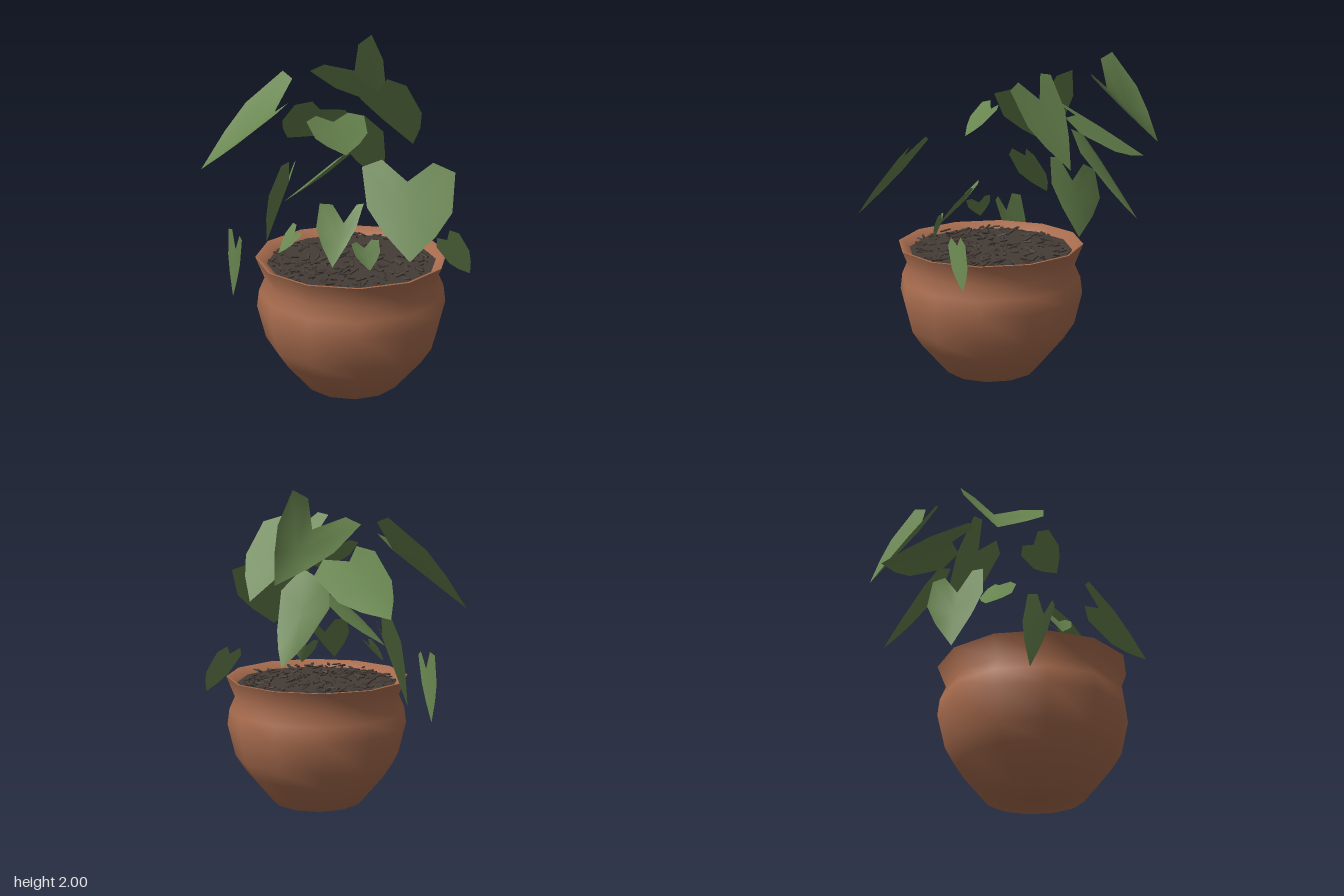
import * as THREE from 'three';
import { toCreasedNormals, mergeGeometries } from 'three/addons/utils/BufferGeometryUtils.js';

const mat = (name, color, side = THREE.FrontSide) => {
  const m = new THREE.MeshStandardMaterial({ color, side });
  m.name = name;
  return m;
};

// Small seeded generator for the loose soil chips
function seeded(seed) {
  return () => {
    seed = (seed * 16807) % 2147483647;
    return seed / 2147483647;
  };
}

const V = (p) => new THREE.Vector3(...p);

// Heart-shaped leaf spanned by its notch, tip and two lobe corners;
// fullness pushes the sides outwards
function leafGeometry(notch, tip, lobeA, lobeB, fullness = 0.4) {
  const N = V(notch), T = V(tip);
  const axis = T.clone().sub(N);
  const pts = [N.clone().lerp(T, 0.42), N];
  const side = (c) => {
    const C = V(c);
    const out = C.clone().sub(N);
    const inner = N.clone().lerp(C, 0.55).addScaledVector(axis, -0.18);
    const shoulder = C.clone().lerp(T, 0.5).addScaledVector(out, fullness);
    const low = shoulder.clone().lerp(T, 0.5).addScaledVector(out, fullness * 0.25);
    return [inner, C, shoulder, low];
  };
  pts.push(...side(lobeA), T, ...side(lobeB).reverse());
  const index = [];
  const n = pts.length - 1;
  for (let i = 0; i < n; i++) index.push(0, 1 + i, 1 + ((i + 1) % n));
  const g = new THREE.BufferGeometry().setFromPoints(pts);
  g.setIndex(index);
  g.computeVertexNormals();
  // Keep the normals on the upper face
  if (g.attributes.normal.getY(0) < 0) {
    g.setIndex(index.reverse());
    g.computeVertexNormals();
  }
  return g;
}

export function createModel() {
  const model = new THREE.Group();
  model.name = 'pottedPlant';
  const terracotta = mat('terracotta', 0xa86c4e);
  const soilBrown = mat('soil brown', 0x443b35);
  const leafGreen = mat('leaf green', 0x68854f, THREE.DoubleSide);

  const add = (parent, name, geometry, material) => {
    const m = new THREE.Mesh(geometry, material);
    m.name = name;
    parent.add(m);
    return m;
  };

  // Pot: bellied wall, flared rim and sloping inner lip
  const potGroup = new THREE.Group();
  potGroup.name = 'pot';
  potGroup.position.set(0.09, 0, 0.223);
  model.add(potGroup);
  const profile = [
    [0, 0.005], [0.29, 0.005], [0.455, 0.2], [0.52, 0.3], [0.568, 0.5],
    [0.555, 0.6], [0.52, 0.68], [0.572, 0.81], [0.56, 0.812], [0.485, 0.745],
  ].map(([r, y]) => new THREE.Vector2(r, y));
  add(potGroup, 'potWall', toCreasedNormals(new THREE.LatheGeometry(profile, 12), 1), terracotta);

  // Soil bed
  const bed = new THREE.CylinderGeometry(0.505, 0.48, 0.03, 12);
  bed.translate(0, 0.755, 0);
  add(potGroup, 'soilBed', bed, soilBrown);

  // Loose chips scattered over the soil
  const rand = seeded(7);
  const chips = [];
  for (let i = 0; i < 220; i++) {
    const r = 0.47 * Math.sqrt(rand());
    const a = rand() * Math.PI * 2;
    const chip = new THREE.BoxGeometry(0.03 + rand() * 0.04, 0.008, 0.01 + rand() * 0.012);
    chip.rotateZ((rand() - 0.5) * 0.7);
    chip.rotateX((rand() - 0.5) * 0.8);
    chip.rotateY(rand() * Math.PI * 2);
    chip.translate(r * Math.cos(a), 0.773 + rand() * 0.025, r * Math.sin(a));
    chips.push(chip);
  }
  add(potGroup, 'soilChips', mergeGeometries(chips), soilBrown);

  // Leaves: notch, tip, lobe, lobe, fullness
  const leaves = {
    backLeaf: [[0.09, 1.72, -0.14], [0.2, 1.35, -0.43], [-0.13, 1.84, -0.07], [0.3, 1.79, -0.08], 0.42],
    topLeaf: [[-0.2, 1.78, -0.42], [-0.16, 1.5, -0.79], [-0.4, 1.8, -0.2], [-0.12, 2.0, -0.5], 0.3],
    backDroopingLeaf: [[-0.15, 1.5, -0.28], [-0.14, 1.03, -0.68], [-0.27, 1.33, -0.34], [0.02, 1.42, -0.38], 0.12],
    upperRightLeaf: [[-0.43, 1.62, 0.2], [-0.83, 1.27, 0.4], [-0.48, 1.83, 0.0], [-0.28, 1.67, 0.46], 0.42],
    backRightLeaf: [[-0.3, 1.58, -0.14], [-0.68, 1.3, -0.41], [-0.39, 1.63, 0.02], [-0.14, 1.5, -0.28], 0.35],
    frontLeftLeaf: [[0.56, 1.39, 0.5], [0.69, 1.03, 0.76], [0.3, 1.45, 0.53], [0.78, 1.43, 0.35], 0.4],
    crownFrontLeaf: [[0.0, 1.62, 0.28], [0.13, 1.46, 0.38], [-0.1, 1.64, 0.42], [0.13, 1.64, 0.14], 0.4],
    crownLowLeaf: [[-0.08, 1.34, 0.08], [-0.41, 1.05, 0.14], [-0.03, 1.36, -0.02], [-0.05, 1.34, 0.18], 0.6],
    leftSmallLeaf: [[0.63, 0.93, 0.06], [0.735, 0.7, -0.06], [0.6, 0.91, 0.15], [0.67, 0.95, -0.03], 0.4],
    rightLeaf: [[-0.46, 1.13, -0.02], [-0.61, 0.72, 0.02], [-0.43, 1.27, 0.13], [-0.5, 1.21, -0.16], 0.6],
    rightLowLeaf: [[-0.52, 0.85, 0.54], [-0.585, 0.52, 0.48], [-0.45, 0.93, 0.58], [-0.6, 0.95, 0.48], 0.4],
    frontLeaf: [[0.12, 1.06, 0.39], [0.15, 0.86, 0.6], [-0.03, 1.16, 0.4], [0.2, 1.16, 0.29], 0.4],
    frontLeftSprout: [[0.28, 0.95, 0.45], [0.33, 0.83, 0.48], [0.22, 0.98, 0.5], [0.355, 1.0, 0.42], 0.4],
    frontRightSprout: [[-0.15, 0.98, 0.49], [-0.23, 0.87, 0.54], [-0.19, 1.03, 0.43], [-0.08, 1.0, 0.54], 0.4],
  };
  const foliage = new THREE.Group();
  foliage.name = 'foliage';
  model.add(foliage);
  for (const [name, spec] of Object.entries(leaves)) {
    add(foliage, name, leafGeometry(...spec), leafGreen);
  }
  return model;
}
